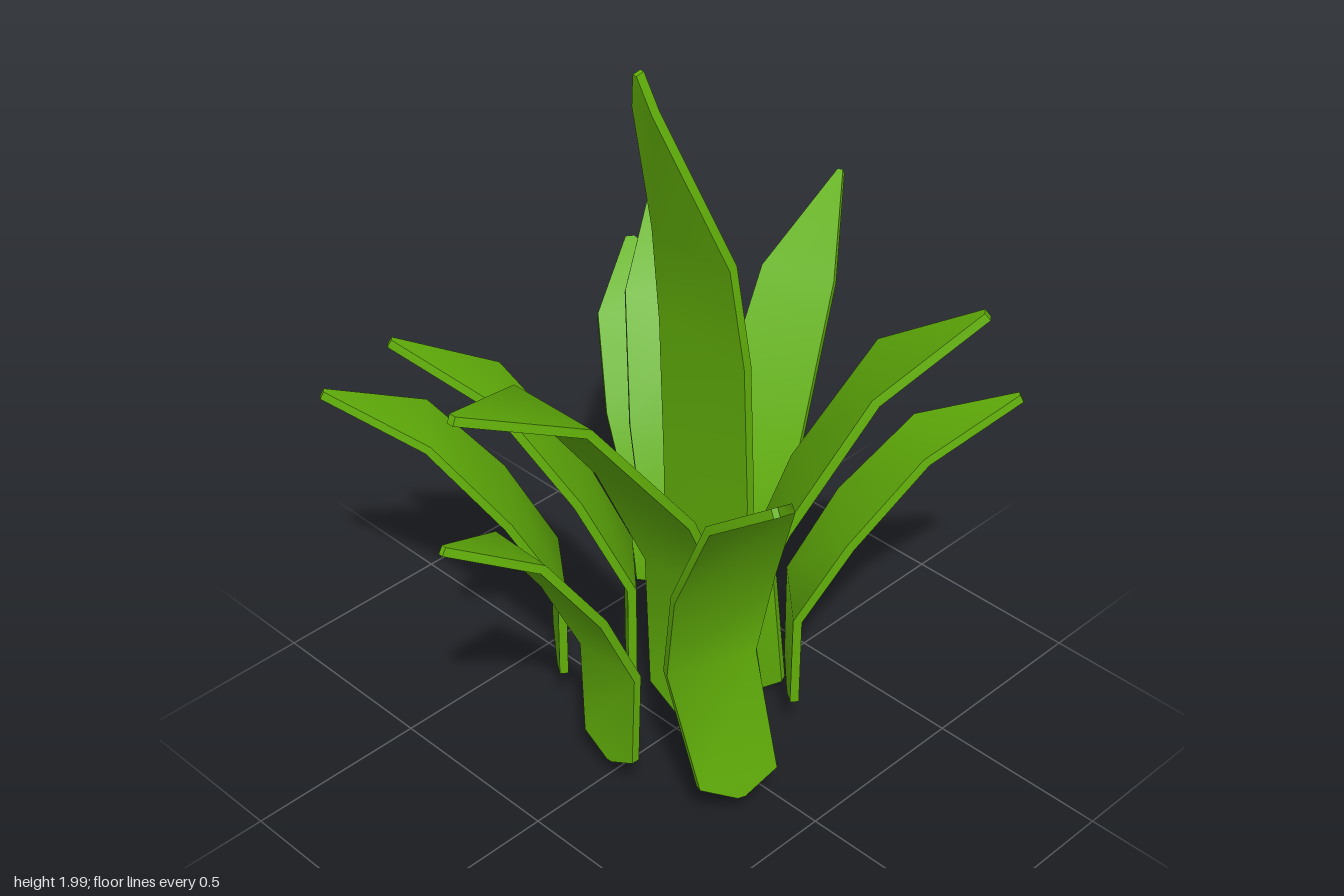
import * as THREE from 'three';
import { toCreasedNormals } from 'three/addons/utils/BufferGeometryUtils.js';

// Leaf sections: [share of height, share of outward reach, share of half width, share of bow]
const ARCHING = [
  [0, 0, 0.08, 0], [0.05, 0, 0.82, 0.1], [0.35, 0, 0.92, 1], [0.61, 0.23, 1, 0.8],
  [0.87, 0.56, 0.82, 0.3], [1, 1, 0.06, 0],
];
const HIGH_ARCH = [
  [0, 0, 0.08, 0], [0.05, 0, 0.82, 0], [0.35, 0, 0.92, 0], [0.61, 0.21, 1, 0],
  [0.91, 0.61, 0.8, 0], [1, 1, 0.06, 0],
];
const UPRIGHT = [
  [0, 0, 0.08, 0], [0.03, 0, 0.82, 0], [0.36, -0.08, 1, 0], [0.58, 0, 0.98, 0],
  [0.73, 0.18, 0.88, 0], [0.95, 0.9, 0.22, 0], [1, 1, 0.04, 0],
];
const THICKNESS = 0.023;

// A thin four-sided strip swept from base to tip; facing sets which way its
// flat side looks, bow shifts its middle sideways in x and z
function leafGeometry({ base, tip, half, profile = ARCHING, facing, bow = [0, 0] }) {
  const from = new THREE.Vector3(...base);
  const reach = new THREE.Vector3(...tip).sub(from);
  const out = facing ? new THREE.Vector3(facing[0], 0, facing[1])
    : new THREE.Vector3(reach.x, 0, reach.z);
  out.normalize();
  const side = new THREE.Vector3(out.z, 0, -out.x);
  const spine = profile.map(([h, r, , b]) => new THREE.Vector3(
    reach.x * r + bow[0] * b, reach.y * h, reach.z * r + bow[1] * b).add(from));

  const positions = [];
  const index = [];
  profile.forEach(([, , w], i) => {
    const along = spine[Math.min(i + 1, spine.length - 1)].clone()
      .sub(spine[Math.max(i - 1, 0)]).normalize();
    const normal = along.clone().cross(side).normalize();
    for (const [a, b] of [[1, 1], [-1, 1], [-1, -1], [1, -1]]) {
      const p = spine[i].clone()
        .addScaledVector(side, a * w * half)
        .addScaledVector(normal, b * THICKNESS / 2);
      positions.push(p.x, p.y, p.z);
    }
    if (i === 0) return;
    for (let k = 0; k < 4; k++) {
      const a = (i - 1) * 4 + k, b = (i - 1) * 4 + (k + 1) % 4;
      index.push(a, b, b + 4, a, b + 4, a + 4);
    }
  });
  // End caps
  const e = (profile.length - 1) * 4;
  index.push(0, 2, 1, 0, 3, 2, e, e + 1, e + 2, e, e + 2, e + 3);

  const geometry = new THREE.BufferGeometry();
  geometry.setAttribute('position', new THREE.Float32BufferAttribute(positions, 3));
  geometry.setIndex(index);
  return toCreasedNormals(geometry, 0.8);
}

export function createModel() {
  const plant = new THREE.Group();
  plant.name = 'plant';
  const green = new THREE.MeshStandardMaterial({ color: 0x62b00a });

  const leaves = [
    { name: 'centreLeaf', base: [0.085, 0.1, 0.01], tip: [-0.12, 2, 0], half: 0.155, profile: UPRIGHT },
    { name: 'rightUpperLeaf', base: [-0.03, 0.1, 0.075], tip: [-0.77, 1.43, 0.08], half: 0.16, profile: HIGH_ARCH },
    { name: 'rightLowerLeaf', base: [-0.27, 0.1, 0.035], tip: [-0.77, 1.04, 0.02], half: 0.11 },
    { name: 'backRightLowerLeaf', base: [-0.1, 0.1, -0.34], tip: [-0.55, 1.02, -0.69], half: 0.13 },
    { name: 'backRightUpperLeaf', base: [-0.03, 0.12, -0.14], tip: [-0.46, 1.21, -0.52], half: 0.12 },
    { name: 'backLeftLowerLeaf', base: [0.35, 0.15, -0.28], tip: [0.51, 1.02, -0.69], half: 0.2, facing: [0.57, -0.82] },
    { name: 'backLeftUpperLeaf', base: [0.14, 0.13, -0.07], tip: [0.43, 1.26, -0.52], half: 0.145, facing: [0.62, -0.78] },
    { name: 'leftLeaf', base: [0.26, 0.01, 0.025], tip: [0.77, 1.33, -0.17], half: 0.12, bow: [-0.05, -0.02] },
    { name: 'frontLeftUpperLeaf', base: [0.08, 0.02, 0.22], tip: [0.34, 1.46, 0.66], half: 0.16, facing: [0.62, 0.78], bow: [-0.07, -0.02] },
    { name: 'frontLeftLowerLeaf', base: [0.25, 0.1, 0.18], tip: [0.65, 1.03, 0.55], half: 0.122 },
    { name: 'frontRightLeaf', base: [-0.145, 0.11, 0.37], tip: [-0.38, 1.29, 0.68], half: 0.13, facing: [-0.36, 0.93], bow: [-0.03, -0.08] },
  ];
  for (const { name, ...shape } of leaves) {
    const leaf = new THREE.Mesh(leafGeometry(shape), green);
    leaf.name = name;
    plant.add(leaf);
  }
  return plant;
}
